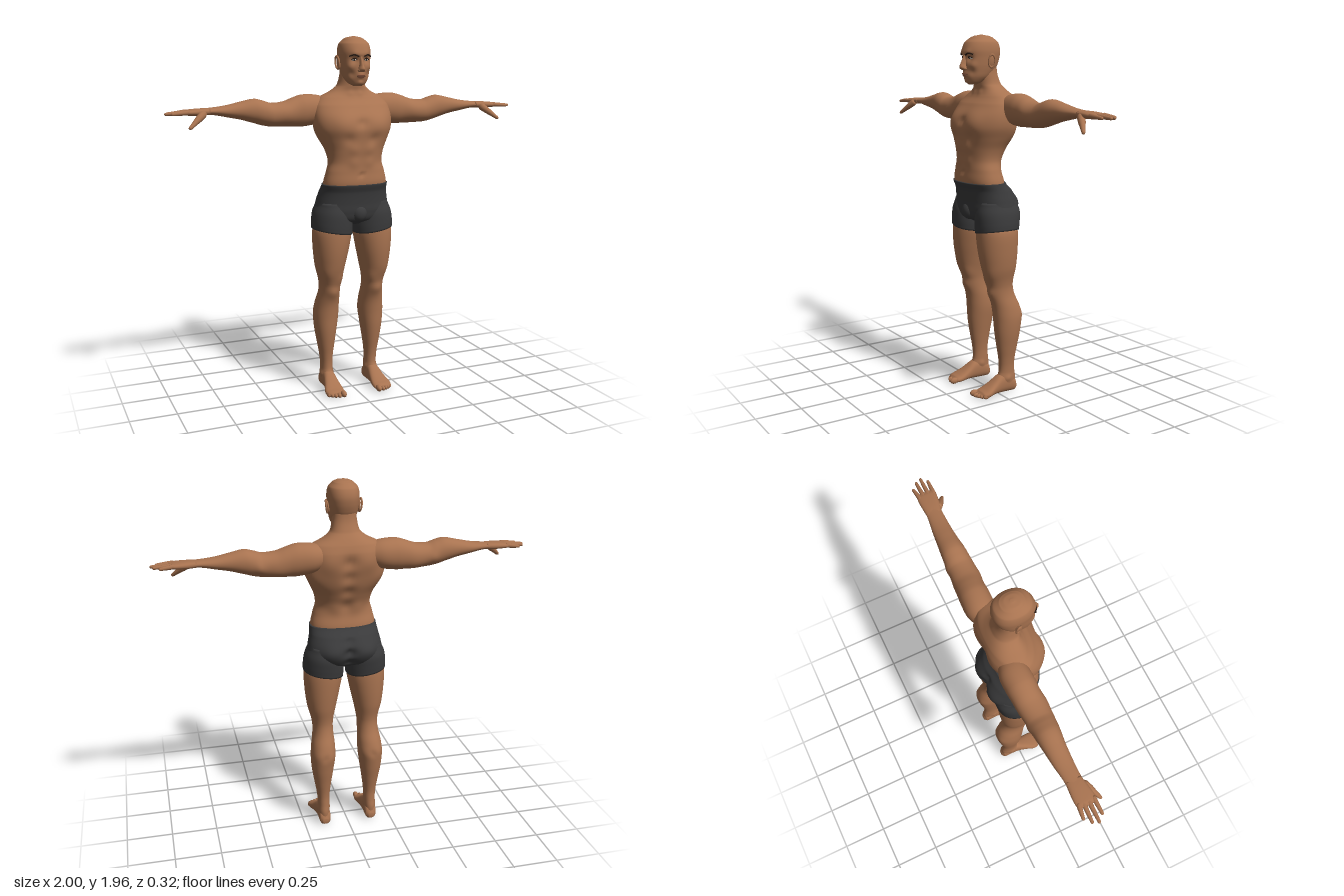
import * as THREE from 'three';

const paint = (name, color) => Object.assign(new THREE.MeshStandardMaterial({ color }), { name });
const skin = paint('skin', 0xa87350);
const cloth = paint('charcoal cloth', 0x3a3a3b);
const hair = paint('dark brow', 0x2a1c15);
const white = paint('eye white', 0xcfc4b8);
const lipTone = paint('lip', 0x8f5a42);

const AXES = { x: [0, 1, 2], y: [1, 2, 0], z: [2, 0, 1] }; // along, u, v

// Smooth closed skin over rings [t, uMin, uMax, vMin, vMax] with rising t.
// Bumps [x, y, z, radius, amount] push the surface out or in, mirrored in x.
function loft(axis, rings, { seg = 40, steps = 5, power = 2, bumps = [] } = {}) {
  const [A, U, V] = AXES[axis];
  const all = bumps.flatMap(b => (b[0] ? [b, [-b[0], ...b.slice(1)]] : [b]));
  const pos = [], index = [];
  const n = rings.length, rows = (n - 1) * steps + 1;
  const at = i => rings[Math.min(n - 1, Math.max(0, i))];
  const section = row => {
    const i = Math.min(n - 2, Math.floor(row / steps)), f = row / steps - i;
    return rings[0].map((_, k) => {
      const [a, b, c, d] = [at(i - 1)[k], at(i)[k], at(i + 1)[k], at(i + 2)[k]];
      if (k === 0) return b + (c - b) * f;
      return b + 0.5 * f * (c - a + f * (2 * a - 5 * b + 4 * c - d + f * (3 * (b - c) + d - a)));
    });
  };
  const round = s => Math.sign(s) * Math.abs(s) ** (2 / power);
  for (let r = 0; r < rows; r++) {
    const [t, u0, u1, v0, v1] = section(r);
    for (let j = 0; j < seg; j++) {
      const w = (j / seg) * Math.PI * 2;
      const du = round(Math.cos(w)) * (u1 - u0) / 2, dv = round(Math.sin(w)) * (v1 - v0) / 2;
      const p = [0, 0, 0];
      p[A] = t; p[U] = (u0 + u1) / 2 + du; p[V] = (v0 + v1) / 2 + dv;
      let push = 0;
      for (const [x, y, z, rad, amt] of all)
        push += amt * Math.exp(-((p[0] - x) ** 2 + (p[1] - y) ** 2 + (p[2] - z) ** 2) / rad ** 2);
      const len = Math.hypot(du, dv) || 1;
      p[U] += push * du / len; p[V] += push * dv / len;
      pos.push(...p);
      if (r < rows - 1) {
        const a = r * seg + j, b = r * seg + (j + 1) % seg;
        index.push(a, b, b + seg, a, b + seg, a + seg);
      }
    }
  }
  // end caps
  [[0, true], [rows - 1, false]].forEach(([r, low]) => {
    const [t, u0, u1, v0, v1] = section(r), p = [0, 0, 0], c = pos.length / 3;
    p[A] = t; p[U] = (u0 + u1) / 2; p[V] = (v0 + v1) / 2;
    pos.push(...p);
    for (let j = 0; j < seg; j++) {
      const a = r * seg + j, b = r * seg + (j + 1) % seg;
      low ? index.push(c, b, a) : index.push(c, a, b);
    }
  });
  const g = new THREE.BufferGeometry();
  g.setAttribute('position', new THREE.Float32BufferAttribute(pos, 3));
  g.setIndex(index);
  g.computeVertexNormals();
  return g;
}

// Ring symmetric in x for upright parts: height, half width, front z, back z
const sym = ([y, hx, zf, zb]) => [y, zb, zf, -hx, hx];

function ball(p, s, rotZ = 0, rotY = 0) {
  const g = new THREE.SphereGeometry(1, 20, 14);
  g.scale(...s); g.rotateZ(rotZ); g.rotateY(rotY); g.translate(...p);
  return g;
}

// Rounded tapering finger between two points
function finger(a, b, r0, r1) {
  const A = new THREE.Vector3(...a), d = new THREE.Vector3(...b).sub(A), len = d.length();
  const profile = [[0, -r0], [r0 * 0.8, -r0 * 0.6], [r0, 0], [r0 * 0.9, len * 0.3], [(r0 + r1) / 2, len * 0.5],
    [r1, len - r1], [r1 * 0.75, len - r1 * 0.35], [0, len]].map(q => new THREE.Vector2(...q));
  const g = new THREE.LatheGeometry(profile, 12);
  g.applyQuaternion(new THREE.Quaternion().setFromUnitVectors(new THREE.Vector3(0, 1, 0), d.normalize()));
  g.translate(...a);
  return g;
}

function stroke(points, r) {
  return new THREE.TubeGeometry(new THREE.CatmullRomCurve3(points.map(p => new THREE.Vector3(...p))), 14, r, 6);
}

function mirrored(g) {
  const m = g.clone().scale(-1, 1, 1), ix = m.index.array;
  for (let i = 0; i < ix.length; i += 3) [ix[i], ix[i + 1]] = [ix[i + 1], ix[i]];
  return m;
}

export function createModel() {
  const model = new THREE.Group();
  model.name = 'standingMan';
  const add = (name, g, mat = skin) => {
    const m = new THREE.Mesh(g, mat);
    m.name = name;
    model.add(m);
  };
  const pair = (name, g, mat) => {
    add(name + 'Left', g, mat);
    add(name + 'Right', mirrored(g), mat);
  };

  // Torso and neck with chest, belly and back muscles
  add('torso', loft('y', [
    [1.13, .165, .11, -.06], [1.18, .177, .138, -.07], [1.25, .162, .135, -.055], [1.30, .149, .133, -.062],
    [1.36, .16, .138, -.088], [1.42, .187, .142, -.115], [1.48, .212, .143, -.13], [1.54, .218, .128, -.138],
    [1.60, .208, .09, -.138], [1.64, .175, .055, -.125], [1.67, .115, .042, -.107], [1.70, .078, .045, -.086],
    [1.75, .066, .05, -.068], [1.80, .062, .05, -.062]].map(sym), {
    seg: 80, steps: 7, power: 2.3, bumps: [
      [.09, 1.50, .13, .07, .018], [.07, 1.425, .14, .03, -.008], [0, 1.51, .14, .025, -.012],
      [.04, 1.37, .135, .03, .006], [.04, 1.30, .13, .03, .006], [0, 1.235, .136, .012, -.01],
      [0, 1.55, -.138, .035, -.016], [0, 1.47, -.13, .035, -.014], [0, 1.39, -.10, .035, -.012],
      [0, 1.30, -.06, .035, -.01], [.1, 1.55, -.135, .06, .012], [.17, 1.45, -.07, .06, .01],
      [.05, 1.28, -.06, .04, .007], [.025, 1.66, .05, .018, .006]],
  }));

  // Shorts: seat, pouch and two short legs with a slanted hem
  add('shortsSeat', loft('y', [
    [.955, .09, .05, -.06], [.985, .18, .105, -.12], [1.03, .207, .12, -.142], [1.08, .201, .123, -.143],
    [1.14, .188, .13, -.115], [1.182, .183, .144, -.077]].map(sym), {
    seg: 72, steps: 8, power: 2.3, bumps: [
      [.085, 1.06, -.135, .06, .02], [0, 1.06, -.15, .026, -.032], [0, 1.0, -.13, .03, -.025], [0, 1.12, -.13, .02, -.015]],
  }), cloth);
  add('shortsPouch', ball([0, 1.025, .095], [.045, .05, .04]), cloth);
  const shortsLeg = loft('y', [
    [.917, -.124, .115, .01, .229], [.96, -.13, .117, .008, .228], [1.02, -.135, .115, .012, .219],
    [1.08, -.12, .10, .03, .198]], { power: 2.15 });
  const sp = shortsLeg.attributes.position;
  for (let i = 0; i < sp.count; i++)
    sp.setY(i, sp.getY(i) + (sp.getX(i) - .12) * .16 * Math.max(0, (1.08 - sp.getY(i)) / .16));
  shortsLeg.computeVertexNormals();
  pair('shortsLeg', shortsLeg, cloth);

  // Legs, with kneecap and calf
  pair('leg', loft('y', [
    [.04, -.112, -.005, .103, .168], [.08, -.114, 0, .102, .17], [.12, -.108, -.013, .102, .168],
    [.18, -.106, -.012, .101, .172], [.27, -.12, .002, .09, .187], [.35, -.135, .013, .078, .2],
    [.43, -.143, .019, .068, .205], [.50, -.131, .028, .068, .198], [.57, -.102, .047, .072, .186],
    [.63, -.093, .061, .07, .188], [.72, -.108, .091, .052, .21], [.82, -.117, .108, .03, .222],
    [.92, -.119, .111, .014, .224], [.98, -.11, .10, .03, .2]], {
    power: 2.1, bumps: [
      [.13, .575, .05, .03, .008], [.09, .65, .05, .035, .007], [.165, .68, .06, .04, .005],
      [.105, .44, -.13, .035, .005], [.165, .45, -.13, .035, .005], [.135, .44, -.145, .018, -.006],
      [.17, .085, -.05, .016, .006], [.1, .09, -.05, .016, .006]],
  }));

  // Feet and toes
  pair('foot', loft('z', [
    [-.12, .12, .15, .012, .04], [-.105, .104, .166, .001, .075], [-.06, .101, .169, 0, .11],
    [-.01, .1, .172, .002, .105], [.04, .094, .183, .004, .072], [.085, .089, .196, .001, .047],
    [.115, .091, .19, .002, .036], [.128, .1, .17, .008, .026]], { seg: 28, power: 2.4 }));
  [[.107, .135, .018, .026], [.132, .133, .013, .022], [.151, .126, .0125, .021], [.168, .116, .012, .02],
    [.184, .104, .012, .019]].forEach(([x, z, r, l], i) => pair('toe' + (i + 1), ball([x, r + .002, z], [r * .85, r, l])));

  // Arms
  pair('arm', loft('x', [
    [.10, 1.53, 1.63, -.11, 0], [.18, 1.50, 1.652, -.137, .012], [.26, 1.487, 1.656, -.137, .016],
    [.31, 1.488, 1.643, -.132, .014], [.37, 1.490, 1.622, -.126, .016], [.44, 1.492, 1.616, -.119, .018],
    [.48, 1.498, 1.628, -.118, .015], [.53, 1.512, 1.639, -.115, .01], [.60, 1.532, 1.626, -.108, .001],
    [.68, 1.548, 1.609, -.1, -.004], [.75, 1.561, 1.6, -.09, -.006], [.81, 1.563, 1.596, -.087, -.005]], {
    power: 2.1, bumps: [[.37, 1.56, .02, .045, .006], [.36, 1.5, -.11, .05, .005], [.46, 1.55, -.12, .025, .006]],
  }));

  // Hands
  pair('palm', loft('x', [
    [.77, 1.563, 1.597, -.087, -.006], [.81, 1.560, 1.597, -.09, .001], [.85, 1.561, 1.595, -.092, .008],
    [.885, 1.563, 1.592, -.091, .01], [.905, 1.569, 1.587, -.084, .004]], { seg: 28, power: 2.5 }));
  [[-.001, .002, .972], [-.028, -.028, 1], [-.054, -.058, .988], [-.077, -.088, .957]].forEach(([z0, z1, x], i) =>
    pair('finger' + (i + 1), finger([.885, 1.579, z0], [x, 1.572, z1], .0125, .008)));
  pair('thumb', finger([.81, 1.568, -.006], [.892, 1.5, .045], .02, .009));

  // Head with brow, sockets, cheeks, jaw and chin
  add('head', loft('y', [
    [1.70, .02, .095, .05], [1.713, .044, .109, .02], [1.74, .062, .117, -.02], [1.77, .071, .121, -.05],
    [1.80, .077, .123, -.067], [1.84, .081, .124, -.08], [1.88, .083, .125, -.084], [1.92, .075, .109, -.072],
    [1.945, .051, .077, -.042], [1.953, .034, .056, -.02], [1.958, .008, .028, .008]].map(sym), {
    seg: 88, steps: 8, power: 2.25, bumps: [
      [.033, 1.838, .115, .02, -.012], [.03, 1.863, .12, .018, .006], [0, 1.862, .125, .016, .004],
      [.052, 1.80, .1, .02, .005], [.045, 1.765, .105, .02, -.005], [0, 1.754, .12, .02, .008],
      [0, 1.717, .11, .016, .006], [0, 1.735, .118, .01, -.004]],
  }));
  add('nose', loft('y', [
    [1.773, .1, .128, -.012, .012], [1.781, .1, .147, -.018, .018], [1.79, .1, .154, -.017, .017],
    [1.805, .1, .149, -.012, .012], [1.83, .1, .138, -.009, .009], [1.855, .1, .128, -.009, .009]], { seg: 24 }));
  pair('nostril', ball([.0135, 1.783, .128], [.0075, .008, .011]));
  pair('ear', ball([.083, 1.82, .012], [.008, .034, .018], -.12));
  const rim = new THREE.TorusGeometry(.024, .005, 8, 24);
  rim.scale(.72, 1.35, 1); rim.rotateY(Math.PI / 2 - .3); rim.rotateZ(-.12); rim.translate(.089, 1.822, .01);
  pair('earRim', rim);

  // Eyes, brows and lips
  pair('eye', ball([.034, 1.837, .1045], [.014, .0065, .0095], 0, .25), white);
  pair('iris', ball([.034, 1.837, .111], [.005, .0055, .004]), hair);
  pair('upperLid', stroke([[.019, 1.837, .113], [.033, 1.8445, .1145], [.049, 1.838, .105]], .0028), hair);
  pair('brow', stroke([[.013, 1.853, .1265], [.036, 1.862, .1215], [.06, 1.855, .106]], .0042), hair);
  add('upperLip', ball([0, 1.757, .122], [.024, .0045, .0095]), lipTone);
  add('lowerLip', ball([0, 1.748, .121], [.02, .0055, .0095]), lipTone);
  add('mouthLine', stroke([[-.024, 1.7525, .12], [0, 1.7525, .1305], [.024, 1.7525, .12]], .0014), hair);

  return model;
}
